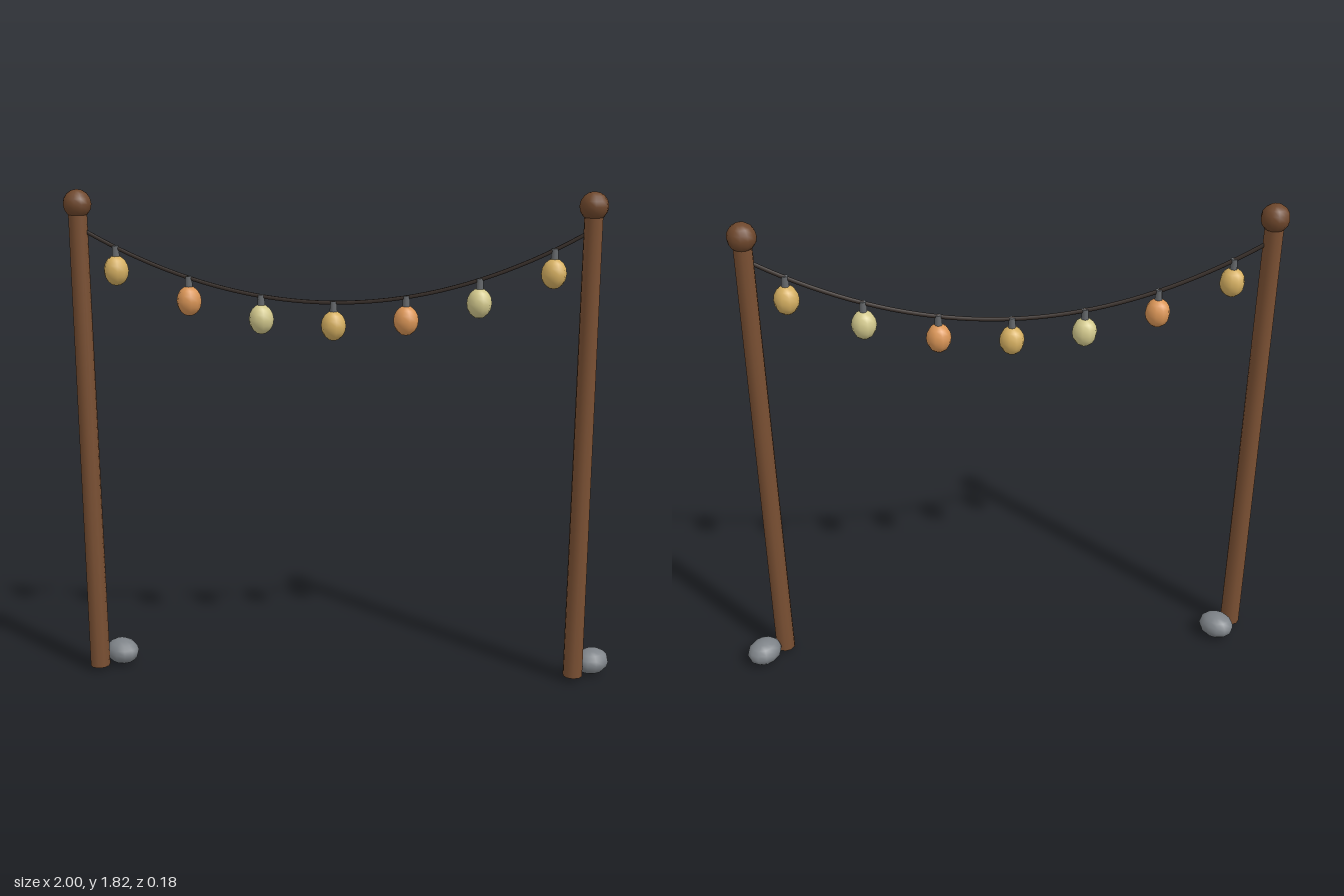
import * as THREE from 'three';
import { mergeVertices } from 'three/addons/utils/BufferGeometryUtils.js';

const mat = (name, color) => {
  const m = new THREE.MeshStandardMaterial({ color });
  m.name = name;
  return m;
};

// Weld all corners so normals blend smoothly over the rims
function weld(geometry) {
  geometry.deleteAttribute('normal');
  geometry.deleteAttribute('uv');
  const g = mergeVertices(geometry, 1e-4);
  g.computeVertexNormals();
  return g;
}

export function createModel() {
  const root = new THREE.Group();
  root.name = 'stringLights';

  const wood = mat('post wood', 0x7a5033);
  const knobWood = mat('knob wood', 0x6e472c);
  const cordMat = mat('cord', 0x352c27);
  const metal = mat('socket grey', 0x66696c);
  const stone = mat('stone', 0x7e8388);
  const glows = [mat('amber glass', 0xd6b062), mat('orange glass', 0xdb9657), mat('pale glass', 0xd3c98d)];

  const add = (name, geometry, material, x, y, z, parent = root) => {
    const m = new THREE.Mesh(geometry, material);
    m.name = name;
    m.position.set(x, y, z);
    parent.add(m);
    return m;
  };

  const midX = -0.05, z = 0.036, span = 1.805;
  const cordY = x => 1.43 + 0.32 * (x - midX) ** 2;

  // Posts with round knobs and a stone at each foot
  const postGeo = weld(new THREE.CylinderGeometry(0.033, 0.037, 1.74, 10));
  const knobGeo = new THREE.SphereGeometry(0.051, 12, 8);
  const stoneGeo = new THREE.SphereGeometry(1, 12, 8).scale(0.071, 0.049, 0.06);
  for (const [side, label] of [[-1, 'right'], [1, 'left']]) {
    const x = midX + side * span / 2;
    add(label + 'Post', postGeo, wood, x, 0.887, z);
    add(label + 'Knob', knobGeo, knobWood, x, 1.773, z);
    const s = add(label + 'Stone', stoneGeo, stone, side < 0 ? -0.879 : 0.93, 0.049, -0.029);
    s.rotation.y = side * Math.PI / 4;
  }

  // Sagging cord between the posts
  const points = [];
  for (let i = 0; i <= 16; i++) {
    const x = midX + span * (i / 16 - 0.5);
    points.push(new THREE.Vector3(x, cordY(x), z));
  }
  add('cord', new THREE.TubeGeometry(new THREE.CatmullRomCurve3(points), 40, 0.0075, 6), cordMat, 0, 0, 0);

  // Hanging bulbs, cycling through three glass colours
  const socketGeo = new THREE.CylinderGeometry(0.012, 0.014, 0.045, 8);
  const bulbGeo = new THREE.SphereGeometry(0.045, 10, 8).scale(1, 1.2, 1);
  for (let i = 0; i < 7; i++) {
    const x = midX + (i - 3) * span / 7;
    const lamp = new THREE.Group();
    lamp.name = 'lamp' + (i + 1);
    lamp.position.set(x, cordY(x), z);
    root.add(lamp);
    add('socket', socketGeo, metal, 0, -0.017, 0, lamp);
    add('bulb', bulbGeo, glows[i % 3], 0, -0.083, 0, lamp);
  }

  return root;
}
